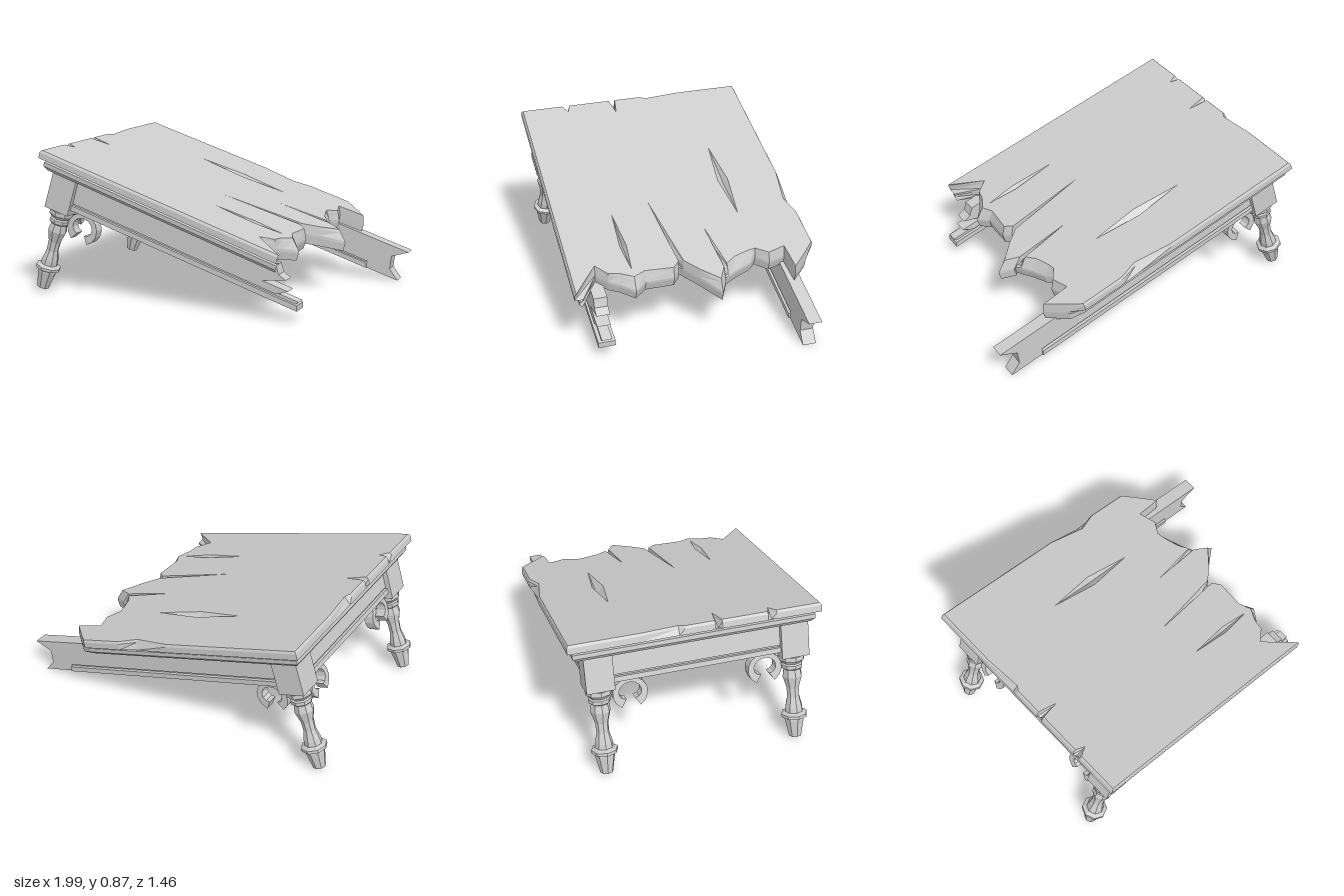
import * as THREE from 'three';

const material = new THREE.MeshStandardMaterial({ color: 0xcccccc, flatShading: true });
const TILT = -0.304;
const LEG_U = 0.17, LEG_Z = 0.56;

function add(parent, geometry, name, x = 0, y = 0, z = 0) {
  const mesh = new THREE.Mesh(geometry, material);
  mesh.name = name;
  mesh.position.set(x, y, z);
  parent.add(mesh);
  return mesh;
}

// Lengthwise distance along the sloping top for a horizontal x
const along = x => (x + 0.87) / Math.cos(TILT);

// Tabletop outline: x, z at the surface, then how far the lower edge shifts in x and z
const OUTLINE = [
  [-0.87, -0.735], [-0.05, -0.735], [0.17, -0.69, 0, -0.045], [0.28, -0.735], [0.53, -0.735],
  [0.59, -0.67, 0.02], [0.69, -0.565, 0.02], [0.53, -0.555, 0.03], [0.56, -0.45, 0.03],
  [0.515, -0.38, 0.02], [0.52, -0.34, 0.05], [0.55, -0.24, 0.06], [0.59, -0.18, 0.05],
  [0.3, -0.135, 0.36], [0.61, -0.155, 0.06], [0.69, -0.11, 0.06], [0.6, -0.01, 0.02], [0.52, 0.06, 0.02],
  [0.05, 0.13, 0.45, -0.04], [0.52, 0.09, 0.03], [0.56, 0.13, 0.03], [0.55, 0.3, 0.04],
  [0.58, 0.37, 0.06], [0.54, 0.45, 0.04], [0.53, 0.51, 0.02], [0.46, 0.57, 0.03],
  [0.64, 0.73], [-0.87, 0.69],
  [-0.87, 0.43], [-0.81, 0.4, -0.06], [-0.87, 0.38],
  [-0.87, 0.12], [-0.75, 0.1, -0.12], [-0.87, 0.08],
  [-0.87, -0.09], [-0.845, -0.12, -0.025], [-0.87, -0.34],
];
// Diamond shaped splits in the surface
const SPLITS = [
  [[-0.33, -0.38], [-0.05, -0.41], [0.23, -0.375], [-0.05, -0.345]],
  [[0.1, 0.37], [0.35, 0.35], [0.53, 0.37], [0.35, 0.39]],
];
// Edge moulding: height, inset
const EDGE = [[0, 0.008], [-0.014, 0], [-0.05, 0], [-0.055, 0.05], [-0.068, 0.05],
  [-0.07, 0.028], [-0.095, 0.03], [-0.115, 0.05]];

function tabletopGeometry() {
  const positions = [];
  const tri = (a, b, c) => positions.push(...a, ...b, ...c);
  // Triangle wound to face up (1) or down (-1)
  const facing = (a, b, c, dir) => {
    const ny = (b[2] - a[2]) * (c[0] - a[0]) - (b[0] - a[0]) * (c[2] - a[2]);
    if (ny * dir > 0) tri(a, b, c); else tri(a, c, b);
  };
  const rings = EDGE.map(([v, inset]) => OUTLINE.map(([x, z, dx = 0, dz = 0]) => {
    const f = Math.min(1, -v / 0.06);
    const u = Math.max(along(x + dx * f), inset);
    const front = 0.69 + 0.025 * u - inset;
    return [u, v, THREE.MathUtils.clamp(z + dz * f, -0.735 + inset, front)];
  }));
  const n = OUTLINE.length;
  for (let k = 0; k < rings.length - 1; k++) {
    for (let i = 0; i < n; i++) {
      const j = (i + 1) % n;
      const [a, b, c, d] = [rings[k][i], rings[k][j], rings[k + 1][j], rings[k + 1][i]];
      tri(a, b, c);
      tri(a, c, d);
    }
  }
  const holes = SPLITS.map(s => s.map(([x, z]) => [along(x), 0, z]));
  const cap = (ring, inner, dir) => {
    const flat = r => r.map(p => new THREE.Vector2(p[0], p[2]));
    const all = [ring, ...inner].flat();
    for (const [a, b, c] of THREE.ShapeUtils.triangulateShape(flat(ring), inner.map(flat))) {
      facing(all[a], all[b], all[c], dir);
    }
  };
  cap(rings[0], holes, 1);
  cap(rings[rings.length - 1], [], -1);
  // Sunken floor of each split
  for (const h of holes) {
    const deep = [(h[0][0] + h[2][0]) / 2, -0.04, (h[1][2] * 2 + h[3][2]) / 3];
    h.forEach((p, i) => facing(p, h[(i + 1) % 4], deep, 1));
  }
  const geometry = new THREE.BufferGeometry();
  geometry.setAttribute('position', new THREE.Float32BufferAttribute(positions, 3));
  geometry.computeVertexNormals();
  return geometry;
}

// Flat board cut to a side outline, centred on its thickness
function board(points, thickness) {
  const shape = new THREE.Shape(points.map(p => new THREE.Vector2(...p)));
  const geometry = new THREE.ExtrudeGeometry(shape, { depth: thickness, bevelEnabled: false });
  return geometry.translate(0, 0, -thickness / 2);
}

// Long apron rail with a snapped end, a groove and a bottom moulding
function longRail(parent, name, side, panelEnd, stripEnd) {
  const rail = new THREE.Group();
  rail.name = name;
  const z = side * 0.57;
  add(rail, board([[0.2, -0.1], [0.2, -0.256], ...panelEnd], 0.08), 'railPanel', 0, 0, z);
  add(rail, board([[0.2, -0.25], [0.2, -0.275], [stripEnd - 0.03, -0.275], [stripEnd - 0.01, -0.25]], 0.06),
    'railGroove', 0, 0, z);
  add(rail, board([[0.2, -0.267], [0.2, -0.297], [stripEnd, -0.297], [stripEnd - 0.01, -0.267]], 0.1),
    'railMoulding', 0, 0, z);
  parent.add(rail);
}

// C-shaped scroll, open at the bottom and thicker towards its ends
function scrollGeometry() {
  const outer = [], inner = [];
  const steps = 12;
  for (let i = 0; i <= steps; i++) {
    const t = i / steps;
    const a = THREE.MathUtils.lerp(-1.0, Math.PI + 1.0, t);
    const width = 0.03 + 0.025 * Math.abs(2 * t - 1) ** 3;
    outer.push([Math.cos(a) * 0.1, Math.sin(a) * 0.095]);
    inner.unshift([Math.cos(a) * (0.1 - width), Math.sin(a) * (0.095 - width)]);
  }
  return board([...outer, ...inner], 0.06);
}

const LEG_PROFILE = [[0, -0.845], [0.037, -0.845], [0.058, -0.737], [0.058, -0.728], [0.076, -0.72],
  [0.076, -0.702], [0.052, -0.69], [0.05, -0.66], [0.036, -0.6], [0.038, -0.54], [0.058, -0.47],
  [0.05, -0.425], [0.063, -0.415], [0.063, -0.395], [0.052, -0.388], [0.076, -0.365], [0.076, -0.34],
  [0.06, -0.325], [0, -0.325]];

function legGroup(side) {
  const leg = new THREE.Group();
  leg.name = side > 0 ? 'frontLeg' : 'backLeg';
  leg.position.set(LEG_U, 0, side * LEG_Z);
  add(leg, new THREE.BoxGeometry(0.16, 0.225, 0.16), 'cornerBlock', 0, -0.22, 0);
  add(leg, new THREE.LatheGeometry(LEG_PROFILE.map(p => new THREE.Vector2(...p)), 8), 'turnedPost');
  add(leg, scrollGeometry(), 'sideScroll', 0.17, -0.388, 0);
  add(leg, scrollGeometry(), 'endScroll', 0, -0.388, -side * 0.17).rotation.y = Math.PI / 2;
  return leg;
}

export function createModel() {
  const model = new THREE.Group();
  model.name = 'brokenTable';
  const table = new THREE.Group();
  table.name = 'tiltedTable';
  table.position.set(-0.87, 0.885, 0);
  table.rotation.z = TILT;
  model.add(table);

  add(table, tabletopGeometry(), 'tabletop');

  // Splintered long rails
  longRail(table, 'frontRail', 1, [[1.6, -0.256], [1.66, -0.215], [1.5, -0.215],
    [1.63, -0.16], [1.58, -0.145], [1.55, -0.1]], 1.745);
  longRail(table, 'backRail', -1, [[1.76, -0.256], [1.76, -0.297], [1.98, -0.297], [1.91, -0.245],
    [1.896, -0.165], [1.989, -0.1]], 1.77);

  // Intact rail between the legs
  const endRail = new THREE.Group();
  endRail.name = 'endRail';
  add(endRail, new THREE.BoxGeometry(0.08, 0.156, 1), 'railPanel', 0.16, -0.178, 0);
  add(endRail, new THREE.BoxGeometry(0.06, 0.025, 1), 'railGroove', 0.16, -0.2625, 0);
  add(endRail, new THREE.BoxGeometry(0.1, 0.03, 1), 'railMoulding', 0.16, -0.282, 0);
  table.add(endRail);

  for (const side of [1, -1]) table.add(legGroup(side));
  return model;
}
